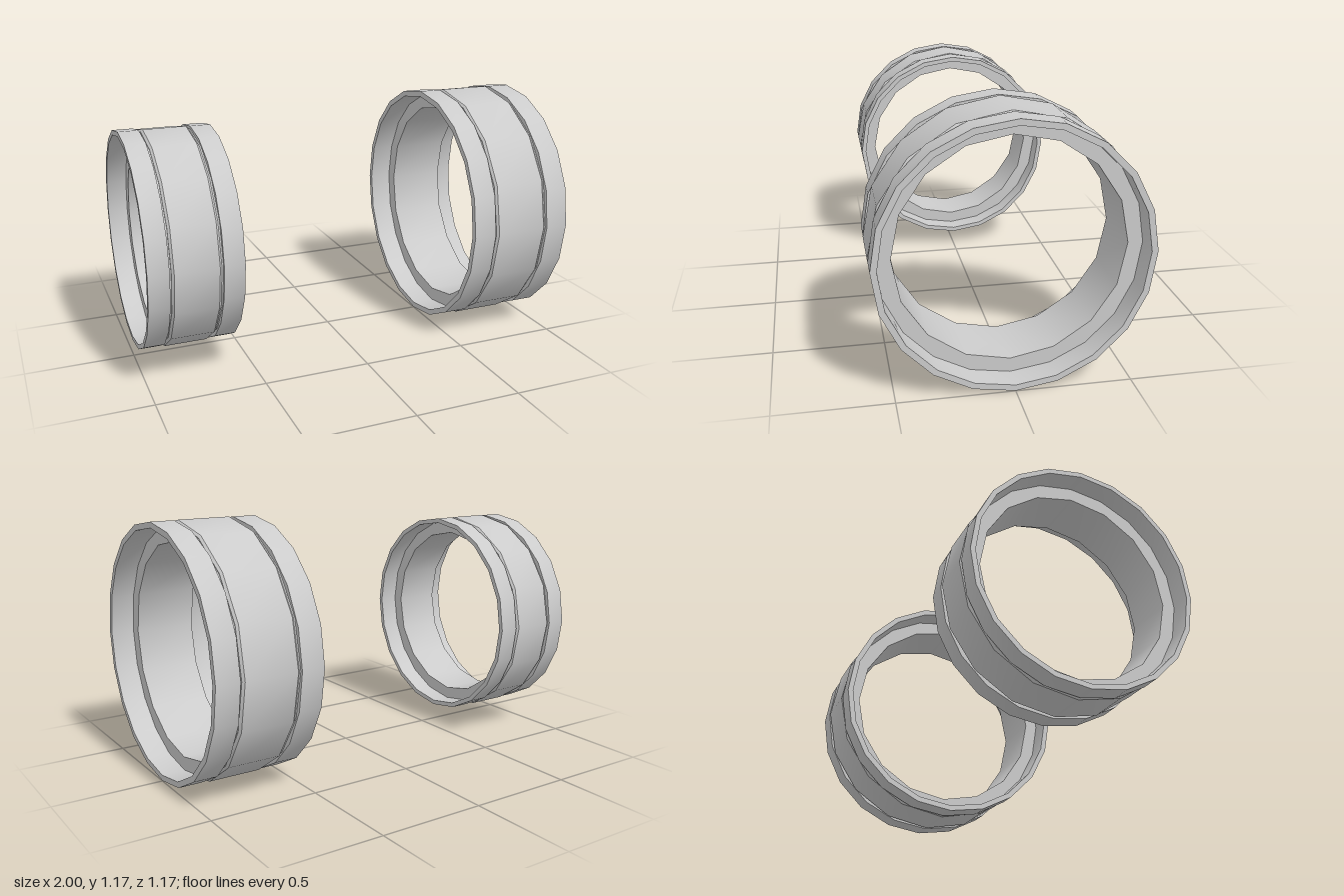
import * as THREE from 'three';
import { toCreasedNormals } from 'three/addons/utils/BufferGeometryUtils.js';

const material = new THREE.MeshStandardMaterial({ color: 0xcccccc });

// Revolve a closed (radius, along-axis) profile around the x axis, keeping profile corners sharp.
function turned(name, profile, sides) {
  const points = [...profile, profile[0]].map(([r, a]) => new THREE.Vector2(r, a));
  const geometry = new THREE.LatheGeometry(points, sides).rotateZ(-Math.PI / 2);
  const mesh = new THREE.Mesh(toCreasedNormals(geometry, 0.5), material);
  mesh.name = name;
  return mesh;
}

function createRing(name, { radius, width, collar, lip, bore, groove }) {
  const ring = new THREE.Group();
  ring.name = name;
  const half = width / 2;
  const end = half - collar; // where the band meets the collars
  const neck = radius - 0.014; // floor of the groove
  const shoulder = end - groove;
  const bevel = 0.01;

  // Thick centre band with bevelled shoulders and a narrow neck at each end
  ring.add(turned('centreBand', [
    [bore, -end], [neck, -end], [neck, -shoulder],
    [radius - bevel, -shoulder], [radius, -shoulder + bevel],
    [radius, shoulder - bevel], [radius - bevel, shoulder],
    [neck, shoulder], [neck, end], [bore, end],
  ], 16));

  // Thin collars at both ends
  for (const [side, from, to] of [['right', -half, -end], ['left', end, half]]) {
    ring.add(turned(side + 'Collar', [
      [lip, from], [radius - 0.001, from], [radius - 0.001, to], [lip, to],
    ], 20));
  }
  return ring;
}

export function createModel() {
  const model = new THREE.Group();
  model.name = 'ringPair';

  const large = createRing('largeRing', {
    radius: 0.585, width: 0.5, collar: 0.109, lip: 0.557, bore: 0.493, groove: 0.009,
  });
  large.position.set(0.75, 0.585, 0);

  const small = createRing('smallRing', {
    radius: 0.507, width: 0.42, collar: 0.094, lip: 0.484, bore: 0.427, groove: 0.008,
  });
  small.position.set(-0.79, 0.585, 0);

  model.add(large, small);
  return model;
}
